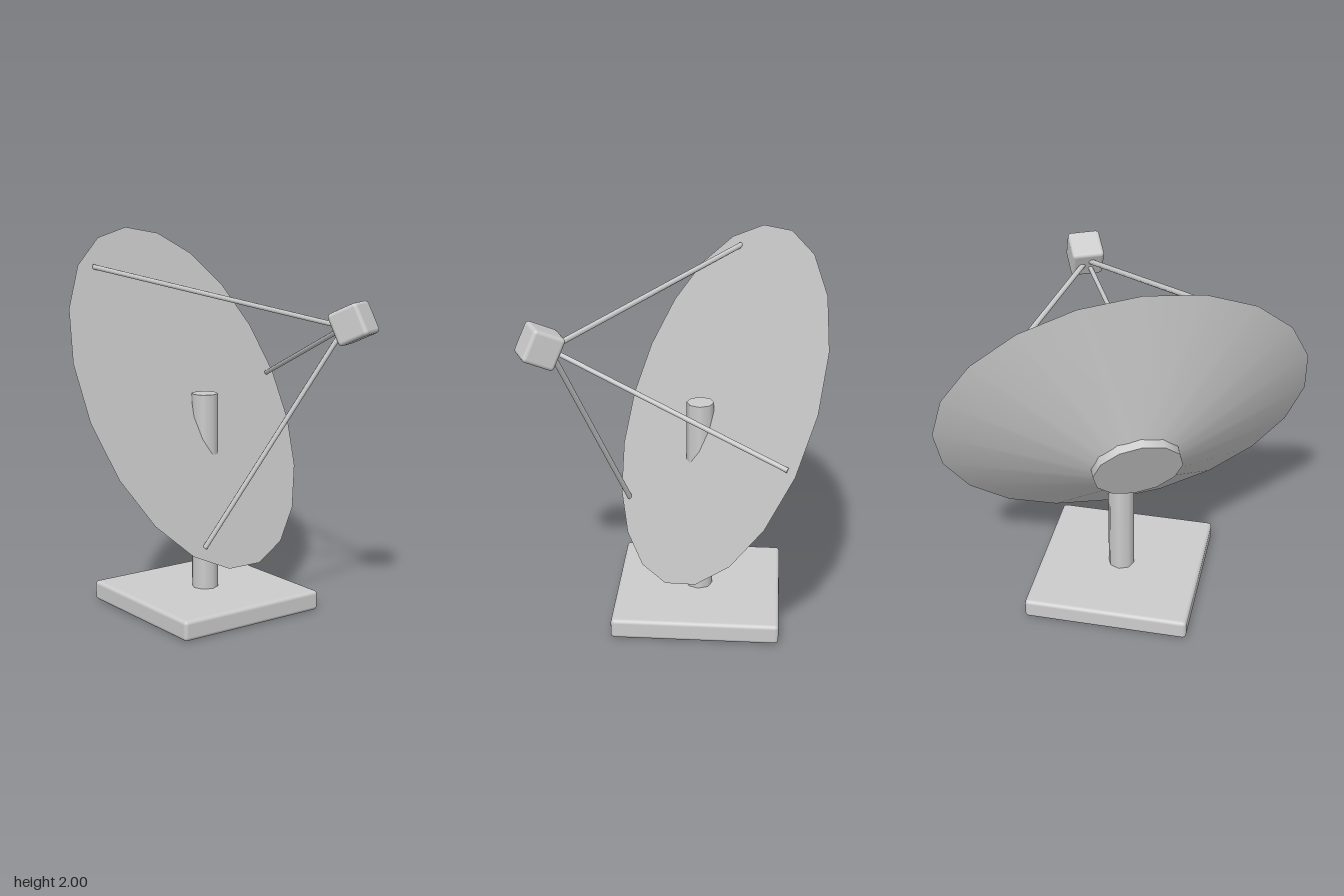
import * as THREE from 'three';
import { RoundedBoxGeometry } from 'three/addons/geometries/RoundedBoxGeometry.js';

export function createModel() {
  const model = new THREE.Group();
  model.name = 'satelliteDish';
  const grey = new THREE.MeshStandardMaterial({ color: 0xcccccc });
  grey.name = 'light grey';

  const add = (parent, name, geometry, x = 0, y = 0, z = 0) => {
    const mesh = new THREE.Mesh(geometry, grey);
    mesh.name = name;
    mesh.position.set(x, y, z);
    parent.add(mesh);
    return mesh;
  };

  // Square base plate and the post that runs up through the dish
  add(model, 'base', new RoundedBoxGeometry(0.86, 0.105, 0.86, 2, 0.02), 0.03, 0.0525, -0.13);
  add(model, 'post', new THREE.CylinderGeometry(0.07, 0.07, 1.1, 8), 0.03, 0.6, -0.13);

  // Tilted head: local +z is the direction the dish points
  const head = new THREE.Group();
  head.name = 'dishHead';
  head.position.set(0, 1.138, -0.203);
  head.rotation.set(-Math.PI * 25 / 180, Math.PI * 25 / 180, 0, 'YXZ');
  model.add(head);

  // Disc-shaped front tapering back to the hub
  const depth = 0.315;
  add(head, 'dish', new THREE.CylinderGeometry(0.95, 0.2, depth, 20).rotateX(Math.PI / 2), 0, 0, -depth / 2);
  add(head, 'hub', new THREE.CylinderGeometry(0.225, 0.225, 0.1, 12).rotateX(Math.PI / 2), 0, 0, -0.3);

  // Receiver box held on three struts
  add(head, 'receiver', new RoundedBoxGeometry(0.17, 0.17, 0.17, 2, 0.02), 0, 0, 1);
  const tip = new THREE.Vector3(0, 0, 0.95);
  for (let i = 0; i < 3; i++) {
    const a = i * Math.PI * 2 / 3;
    const foot = new THREE.Vector3(0.87 * Math.cos(a), 0.87 * Math.sin(a), 0);
    const dir = tip.clone().sub(foot);
    const strut = add(head, 'strut', new THREE.CylinderGeometry(0.014, 0.014, dir.length(), 6));
    strut.position.copy(foot).lerp(tip, 0.5);
    strut.quaternion.setFromUnitVectors(new THREE.Vector3(0, 1, 0), dir.normalize());
  }
  return model;
}
